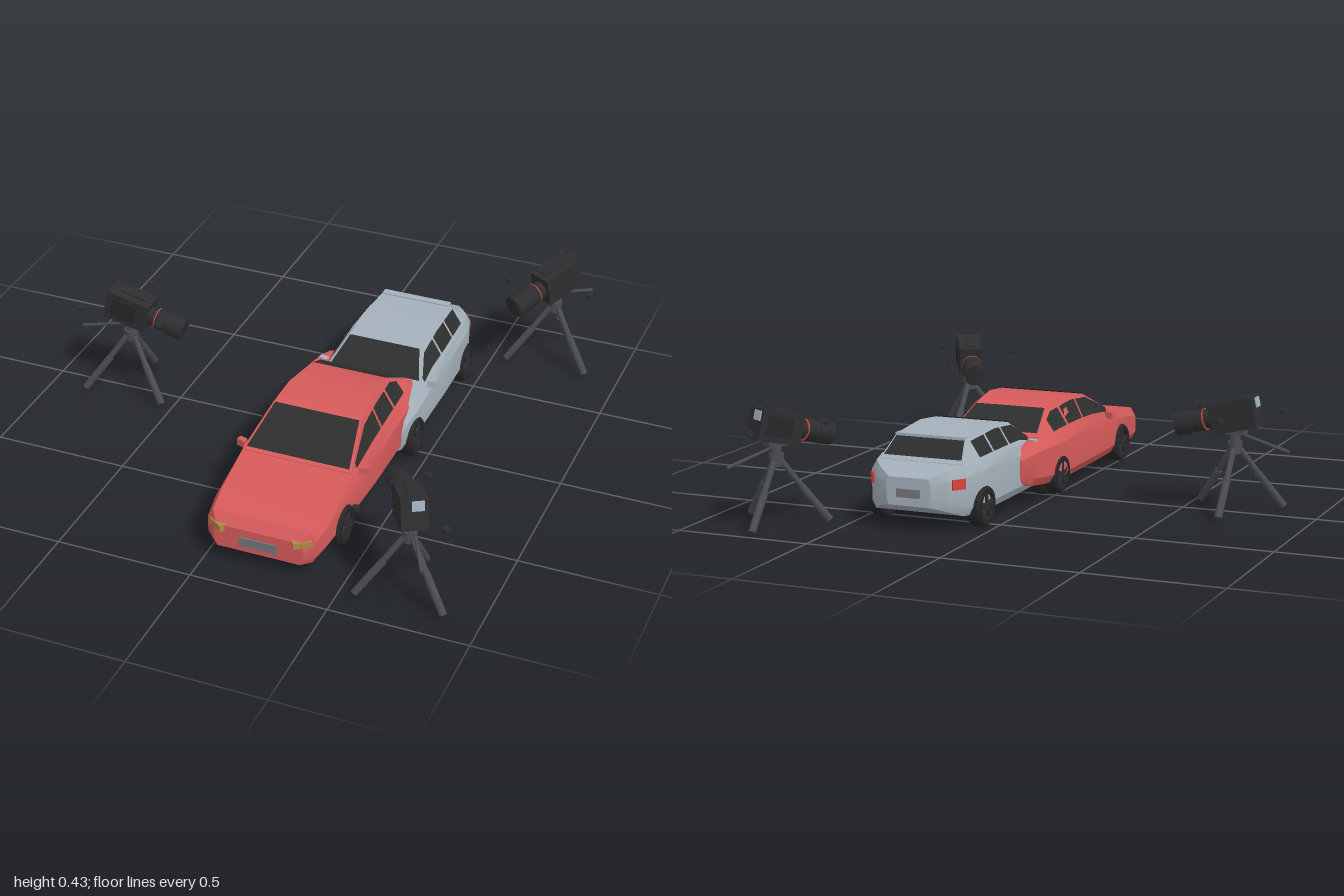
import * as THREE from 'three';
import { toCreasedNormals } from 'three/addons/utils/BufferGeometryUtils.js';

const paint = (name, color, side = THREE.FrontSide) => {
  const m = new THREE.MeshStandardMaterial({ color, side });
  m.name = name;
  return m;
};
const red = paint('redPaint', 0xd65a5a);
const silver = paint('silverPaint', 0xa4b0ba);
const glass = paint('darkGlass', 0x2d2e2e, THREE.DoubleSide);
const rubber = paint('rubber', 0x262628);
const casing = paint('blackCasing', 0x2e2e30);
const metal = paint('tripodMetal', 0x4a4b52);
const amber = paint('amberLamp', 0xb08a48);
const plateGrey = paint('plateGrey', 0x77777c);
const lampRed = paint('redLamp', 0xd8433c);
const screenBlue = paint('screenBlue', 0x9fb2c0);

function add(parent, name, geo, mat, x = 0, y = 0, z = 0) {
  const m = new THREE.Mesh(geo, mat);
  m.name = name;
  m.position.set(x, y, z);
  parent.add(m);
  return m;
}
const box = (w, h, d) => new THREE.BoxGeometry(w, h, d);
const cyl = (r1, r2, h, n = 16) => new THREE.CylinderGeometry(r1, r2, h, n);

// Rod between two points
function rod(parent, name, a, b, r1, r2, mat) {
  const A = new THREE.Vector3(...a), B = new THREE.Vector3(...b), d = B.clone().sub(A);
  const m = add(parent, name, cyl(r2, r1, d.length(), 10), mat);
  m.position.copy(A).add(B).multiplyScalar(0.5);
  m.quaternion.setFromUnitVectors(new THREE.Vector3(0, 1, 0), d.normalize());
}

// Skin through closed rings running from +z to -z
function loft(rings, crease = 0.45) {
  const n = rings[0].length, idx = [];
  for (let i = 0; i < rings.length - 1; i++) for (let j = 0; j < n; j++) {
    const a = i * n + j, d = i * n + (j + 1) % n;
    idx.push(a, a + n, d + n, a, d + n, d);
  }
  const last = (rings.length - 1) * n;
  for (let j = 1; j < n - 1; j++) idx.push(0, j, j + 1, last, last + j + 1, last + j);
  const g = new THREE.BufferGeometry();
  g.setAttribute('position', new THREE.Float32BufferAttribute(rings.flat(2), 3));
  g.setIndex(idx);
  return toCreasedNormals(g, crease);
}

// Ribbon of quads between two lines of points
function ribbon(lower, upper) {
  const idx = [];
  const n = lower.length;
  for (let i = 0; i < n - 1; i++) idx.push(i, i + 1, n + i + 1, i, n + i + 1, n + i);
  const g = new THREE.BufferGeometry();
  g.setAttribute('position', new THREE.Float32BufferAttribute([...lower, ...upper].flat(), 3));
  g.setIndex(idx);
  return toCreasedNormals(g, 0.45);
}

function makeWheel(parent, side, x, y, z, r) {
  const wheel = new THREE.Group();
  wheel.name = 'wheel';
  const h = 0.027;
  const profile = [[0.64, -h], [0.9, -h], [1, -h * 0.6], [1, h * 0.6], [0.9, h], [0.68, h], [0.64, h * 0.7], [0.64, -h]]
    .map(([k, v]) => new THREE.Vector2(k * r, v));
  add(wheel, 'tyre', toCreasedNormals(new THREE.LatheGeometry(profile, 24), 0.5), rubber);
  add(wheel, 'hub', cyl(r * 0.2, r * 0.2, 0.05, 12), casing);
  for (let i = 0; i < 5; i++) {
    const a = i * Math.PI * 0.4;
    const s = add(wheel, 'spoke', box(r * 0.55, 0.012, r * 0.2), casing, Math.cos(a) * r * 0.4, 0.02, Math.sin(a) * r * 0.4);
    s.rotation.y = -a;
  }
  wheel.rotation.z = -side * Math.PI / 2;
  wheel.position.set(side * (x - h), y, z);
  parent.add(wheel);
}

function makeCar(name, o) {
  const car = new THREE.Group();
  car.name = name;
  // Lower body: z, bottom, shoulder, deck, half width, deck half width
  add(car, 'body', loft(o.body.map(([z, b, s, d, w, t]) => {
    const half = [[w * 0.92, b], [w, b + 0.03], [w, s], [t, d]];
    return [...half.map(([x, y]) => [x, y, z]), ...half.reverse().map(([x, y]) => [-x, y, z])];
  })), o.mat);
  // Cabin: z, base y, base half width, roof y, roof half width
  add(car, 'cabin', loft(o.cabin.map(([z, yb, wb, yr, wr]) =>
    [[wb, yb, z], [wr, yr, z], [-wr, yr, z], [-wb, yb, z]])), o.mat);

  const at = z => {
    const c = o.cabin;
    let i = 0;
    while (i < c.length - 2 && z < c[i + 1][0]) i++;
    const k = (z - c[i][0]) / (c[i + 1][0] - c[i][0]);
    return c[i].map((v, j) => v + (c[i + 1][j] - v) * k);
  };
  // Windscreen and rear window
  o.screens.forEach(([name, z0, z1]) => {
    const edge = s => [z0, z1].map(z => {
      const [, , , yr, wr] = at(z);
      return [s * wr * 0.95, yr + 0.004, z];
    });
    add(car, name, ribbon(edge(1), edge(-1)), glass);
  });
  // Side windows
  for (const s of [1, -1]) o.windows.forEach(zs => {
    const line = t => zs.map(z => {
      const [, yb, wb, yr, wr] = at(z);
      return [s * (wb + (wr - wb) * t + 0.004), yb + (yr - yb) * t + 0.002, z];
    });
    add(car, 'sideWindow', ribbon(line(0.2), line(0.86)), glass);
  });
  // Mirrors, wheels and door seams
  for (const s of [1, -1]) {
    const m = add(car, 'mirror', box(0.035, 0.026, 0.022), o.mat, s * o.mirror[0], o.mirror[1], o.mirror[2]);
    m.rotation.y = s * 0.35;
    o.axles.forEach(z => makeWheel(car, s, o.track, o.wheelY, z, 0.073));
  }
  return car;
}

function makeRedCar() {
  const car = makeCar('redSaloon', {
    mat: red,
    body: [
      [0.878, 0.062, 0.12, 0.15, 0.165, 0.155], [0.845, 0.06, 0.15, 0.185, 0.2, 0.18],
      [0.75, 0.06, 0.17, 0.205, 0.212, 0.19], [0.53, 0.06, 0.195, 0.232, 0.222, 0.205],
      [0.35, 0.06, 0.2, 0.235, 0.228, 0.213], [0.05, 0.06, 0.205, 0.238, 0.228, 0.208],
      [-0.1, 0.07, 0.205, 0.238, 0.22, 0.19], [-0.2, 0.08, 0.2, 0.225, 0.205, 0.17],
      [-0.245, 0.1, 0.18, 0.2, 0.17, 0.15]],
    cabin: [
      [0.54, 0.225, 0.205, 0.233, 0.204], [0.35, 0.228, 0.213, 0.325, 0.167],
      [0.22, 0.23, 0.212, 0.338, 0.16], [0.05, 0.23, 0.208, 0.32, 0.145],
      [-0.1, 0.23, 0.185, 0.24, 0.175]],
    screens: [['windscreen', 0.53, 0.352], ['rearWindow', 0.045, -0.085]],
    windows: [[0.5, 0.35, 0.262], [0.25, 0.22, 0.125], [0.11, 0.05, 0]],
    mirror: [0.228, 0.222, 0.485], axles: [0.635, 0.01], track: 0.229, wheelY: 0.086,
  });
  for (const s of [1, -1]) {
    const l = add(car, 'headlight', box(0.066, 0.024, 0.024), amber, s * 0.155, 0.143, 0.866);
    l.rotation.y = s * 0.6;
  }
  add(car, 'numberPlate', box(0.14, 0.036, 0.006), plateGrey, 0, 0.102, 0.88);
  car.position.x = 0.2;
  return car;
}

function makeSilverCar() {
  const car = makeCar('silverHatchback', {
    mat: silver,
    body: [
      [0.11, 0.06, 0.13, 0.16, 0.18, 0.16], [0.08, 0.055, 0.165, 0.195, 0.196, 0.17],
      [0, 0.055, 0.178, 0.215, 0.206, 0.18], [-0.1, 0.055, 0.19, 0.232, 0.209, 0.188],
      [-0.3, 0.055, 0.205, 0.238, 0.21, 0.197], [-0.55, 0.055, 0.205, 0.238, 0.206, 0.19],
      [-0.64, 0.06, 0.2, 0.235, 0.185, 0.165], [-0.7, 0.085, 0.19, 0.222, 0.14, 0.12],
      [-0.73, 0.1, 0.175, 0.2, 0.085, 0.075]],
    cabin: [
      [-0.09, 0.222, 0.186, 0.23, 0.185], [-0.2, 0.23, 0.195, 0.31, 0.143],
      [-0.34, 0.23, 0.197, 0.325, 0.14], [-0.54, 0.23, 0.19, 0.313, 0.135],
      [-0.625, 0.225, 0.168, 0.237, 0.16]],
    screens: [['windscreen', -0.1, -0.2], ['rearWindow', -0.548, -0.615]],
    windows: [[-0.115, -0.2, -0.29], [-0.302, -0.34, -0.42], [-0.432, -0.535]],
    mirror: [0.212, 0.225, -0.13], axles: [0.013, -0.54], track: 0.215, wheelY: 0.078,
  });
  add(car, 'spoiler', box(0.265, 0.01, 0.03), silver, 0, 0.313, -0.542);
  for (const s of [1, -1]) {
    const l = add(car, 'tailLight', box(0.05, 0.036, 0.01), lampRed, s * 0.164, 0.178, -0.671);
    l.rotation.y = -s * 0.93;
  }
  add(car, 'numberPlate', box(0.09, 0.03, 0.006), plateGrey, 0, 0.145, -0.732);
  car.position.x = 0.245;
  return car;
}

function makeCamera(x, z, yaw) {
  const rig = new THREE.Group();
  rig.name = 'cameraOnTripod';
  // Tripod legs with a small disc floating over each foot
  for (let i = 0; i < 3; i++) {
    const a = -Math.PI / 2 + i * Math.PI * 2 / 3, c = Math.cos(a), s = Math.sin(a);
    const p = (r, y) => [c * r, y, s * r];
    rod(rig, 'lowerLeg', p(0.182, 0.022), p(0.085, 0.145), 0.014, 0.014, metal);
    rod(rig, 'upperLeg', p(0.09, 0.14), p(0.012, 0.245), 0.011, 0.011, metal);
    add(rig, 'knob', cyl(0.014, 0.014, 0.013, 10), casing, c * 0.18, 0.367, s * 0.18);
  }
  add(rig, 'column', cyl(0.018, 0.022, 0.09), metal, 0, 0.265, 0);
  add(rig, 'collar', cyl(0.027, 0.027, 0.02), metal, 0, 0.255, 0);
  // Head turns towards the cars
  const head = new THREE.Group();
  head.name = 'head';
  head.rotation.y = yaw;
  rig.add(head);
  rod(head, 'panHandle', [-0.02, 0.29, 0.01], [-0.2, 0.238, 0.006], 0.005, 0.007, metal);
  add(head, 'mount', box(0.08, 0.02, 0.05), metal, 0, 0.302, 0);
  const cam = new THREE.Group();
  cam.name = 'camera';
  cam.position.y = 0.362;
  cam.rotation.z = -0.23;
  head.add(cam);
  add(cam, 'cameraBody', box(0.168, 0.112, 0.092), casing);
  add(cam, 'topRail', box(0.1, 0.008, 0.03), casing, 0.01, 0.058, 0);
  add(cam, 'sidePanel', box(0.1, 0.07, 0.006), rubber, -0.01, 0, 0.047);
  add(cam, 'screen', box(0.006, 0.035, 0.042), screenBlue, -0.085, 0.03, 0.012);
  [[0.034, 0.036, 0.08, 0.115], [0.04, 0.04, 0.112, 0.17], [0.045, 0.043, 0.165, 0.225]].forEach(([r0, r1, a, b]) => {
    rod(cam, 'lensBarrel', [a, 0, 0], [b, 0, 0], r0, r1, casing);
  });
  rod(cam, 'lensGlass', [0.22, 0, 0], [0.227, 0, 0], 0.034, 0.034, glass);
  rod(cam, 'lensRing', [0.112, 0, 0], [0.116, 0, 0], 0.041, 0.041, lampRed);
  rig.position.set(x, 0, z);
  return rig;
}

export function createModel() {
  const model = new THREE.Group();
  model.name = 'carsWithCameras';
  const turn = Math.PI * 2 / 3;
  model.add(makeRedCar(), makeSilverCar(),
    makeCamera(-0.695, 0, 0), makeCamera(0.715, -0.81, -turn), makeCamera(0.715, 0.81, turn));
  return model;
}
